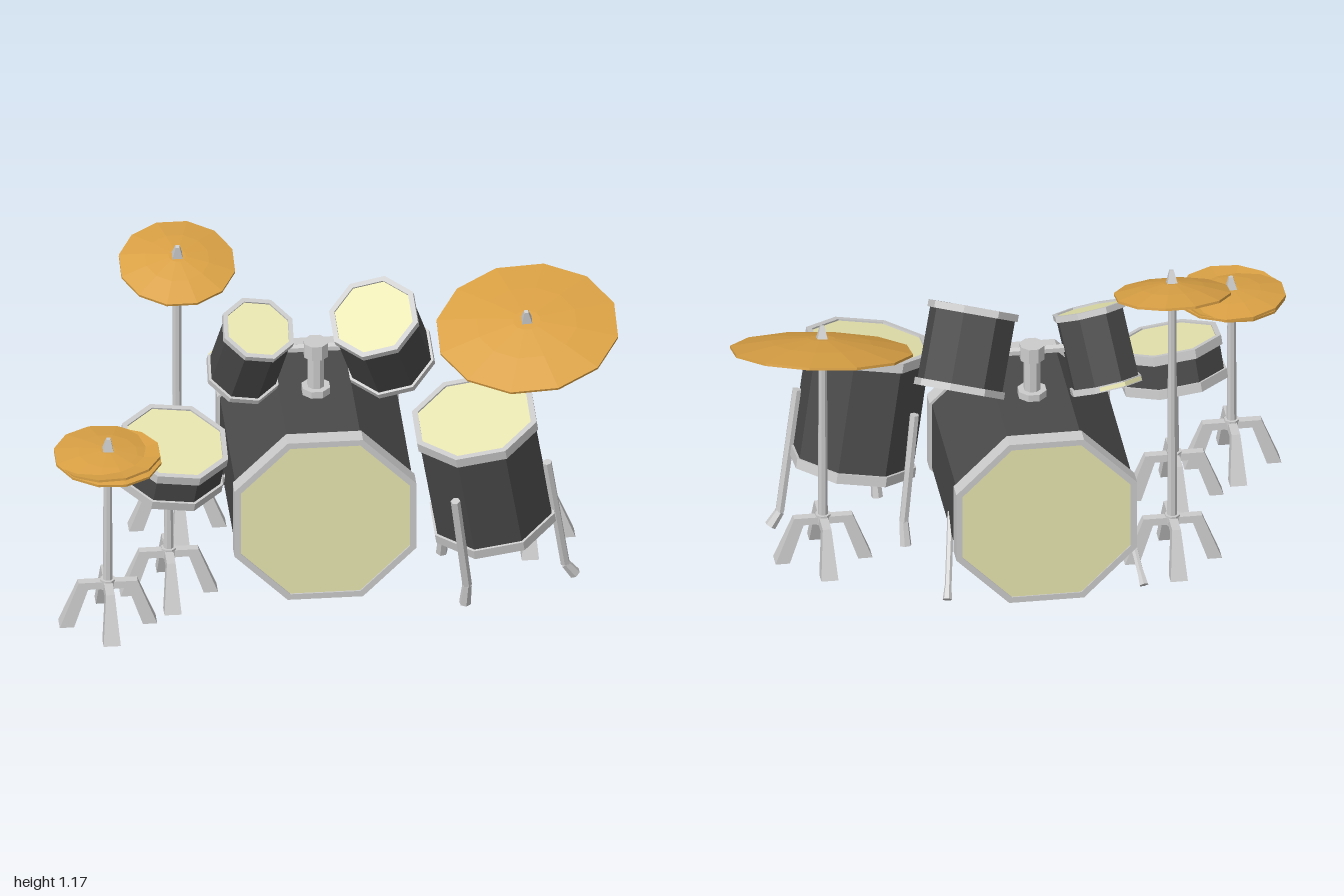
import * as THREE from 'three';

const mat = (color) => new THREE.MeshStandardMaterial({ color, flatShading: true, side: THREE.DoubleSide });
const metal = mat(0xcccccc), dark = mat(0x4a4a4a), skin = mat(0xe8e6b0), brass = mat(0xd9a044);
const UP = new THREE.Vector3(0, 1, 0);
const V = (p) => new THREE.Vector3(...p);

function add(parent, name, geometry, material, pos = [0, 0, 0]) {
  const mesh = new THREE.Mesh(geometry, material);
  mesh.name = name;
  mesh.position.set(...pos);
  parent.add(mesh);
  return mesh;
}

function group(parent, name, pos = [0, 0, 0]) {
  const g = new THREE.Group();
  g.name = name;
  g.position.set(...pos);
  parent.add(g);
  return g;
}

// Straight bar from a to b, with a radius at each end
function bar(parent, name, a, b, ra, rb = ra, sides = 6) {
  const p = V(a), q = V(b), d = q.clone().sub(p);
  const geo = new THREE.CylinderGeometry(rb, ra, d.length(), sides, 1, false, Math.PI / sides);
  const mesh = add(parent, name, geo, metal, p.clone().add(q).multiplyScalar(0.5).toArray());
  mesh.quaternion.setFromUnitVectors(UP, d.normalize());
  return mesh;
}

// Eight-sided prism or lathe with flats facing the axes; r is measured to the flats
const corner = (r) => r / Math.cos(Math.PI / 8);
const octagon = (r, h) => new THREE.CylinderGeometry(corner(r), corner(r), h, 8, 1, false, Math.PI / 8);

// Drum between two end centres: shell, two hoops and two slightly recessed heads
function drum(parent, name, bottom, top, r, hoopH, rim, bottomShift = [0, 0]) {
  const b = V(bottom), t = V(top), d = t.clone().sub(b), len = d.length();
  const g = group(parent, name, b.toArray());
  g.quaternion.setFromUnitVectors(UP, d.normalize());
  add(g, 'shell', octagon(r - 0.009, len - 0.03), dark, [0, len / 2, 0]);
  const ro = corner(r), ri = corner(r - rim);
  const ring = [[ri, 0], [ro, 0], [ro, hoopH], [ri, hoopH], [ri, 0]].map((p) => new THREE.Vector2(...p));
  for (const [end, y] of [['bottom', 0], ['top', len - hoopH]]) {
    add(g, end + 'Hoop', new THREE.LatheGeometry(ring, 8, Math.PI / 8), metal, [0, y, 0]);
  }
  add(g, 'topHead', octagon(r - rim + 0.001, 0.014), skin, [0, len - 0.013, 0]);
  add(g, 'bottomHead', octagon(r - rim + 0.001, 0.014), skin, [bottomShift[0], 0.011, bottomShift[1]]);
  return g;
}

// Bent stand leg: side outline extruded, then made wider towards the foot
function legGeometry() {
  const outline = [[0, 0.172], [0.07, 0.172], [0.12, 0.03], [0.17, 0.03], [0.103, 0.198], [0, 0.198]];
  const geo = new THREE.ExtrudeGeometry(new THREE.Shape(outline.map((p) => new THREE.Vector2(...p))),
    { depth: 1, bevelEnabled: false });
  const p = geo.attributes.position;
  for (let i = 0; i < p.count; i++) {
    const half = THREE.MathUtils.mapLinear(p.getY(i), 0.2, 0.03, 0.015, 0.03);
    p.setZ(i, (p.getZ(i) * 2 - 1) * half);
  }
  geo.computeVertexNormals();
  return geo;
}

// Pole on four bent legs
function stand(parent, name, x, z, height) {
  const g = group(parent, name, [x, 0, z]);
  bar(g, 'pole', [0, 0.165, 0], [0, height, 0], 0.018, 0.015, 8);
  bar(g, 'collar', [0, 0.168, 0], [0, 0.205, 0], 0.027, 0.027, 8);
  const geo = legGeometry();
  for (let i = 0; i < 4; i++) add(g, 'leg', geo, metal).rotation.y = i * Math.PI / 2;
  return g;
}

// Twelve-sided shallow dish
function cymbal(parent, name, pos, r, rise, tiltX, tiltZ, nut = true, squash = 1) {
  const g = group(parent, name, pos);
  g.rotation.set(tiltX, 0, tiltZ);
  const profile = [[0, -0.002], [r * 0.55, -0.006], [r, -0.016], [r, -0.007], [r * 0.55, rise * 0.55], [r * 0.15, rise], [0, rise]];
  const k = 1 / Math.cos(Math.PI / 12);
  const pts = profile.map(([x, y]) => new THREE.Vector2(x * k, y));
  add(g, 'plate', new THREE.LatheGeometry(pts, 12, Math.PI / 12), brass).scale.z = squash;
  if (nut) {
    bar(g, 'nut', [0, rise - 0.005, 0], [0, rise + 0.045, 0], 0.027, 0.01, 4);
  }
  return g;
}

export function createModel() {
  const kit = new THREE.Group();
  kit.name = 'drumKit';

  // Bass drum with rear spurs
  drum(kit, 'bassDrum', [-0.045, 0.328, -0.503], [-0.045, 0.328, 0.2], 0.317, 0.064, 0.022);
  for (const s of [-1, 1]) {
    const x = (o) => -0.045 + s * o;
    bar(kit, 'bassSpur', [x(0.3), 0.25, -0.255], [x(0.34), 0.05, -0.46], 0.012);
    bar(kit, 'bassSpurTip', [x(0.338), 0.065, -0.445], [x(0.345), 0.03, -0.48], 0.012, 0.017);
  }

  // Tom mount on top of the bass drum
  const mount = group(kit, 'tomMount', [-0.045, 0, -0.155]);
  bar(mount, 'mountBase', [0, 0.635, 0], [0, 0.662, 0], 0.052, 0.052, 8);
  bar(mount, 'mountPost', [0, 0.65, 0], [0, 0.79, 0], 0.03, 0.03, 8);
  bar(mount, 'mountHead', [0, 0.785, 0], [0, 0.84, 0], 0.045, 0.045, 8);
  bar(mount, 'mountArm', [-0.15, 0.815, 0], [0.16, 0.815, 0], 0.016);

  // Hanging toms and floor tom
  drum(kit, 'rightTom', [-0.297, 0.682, -0.222], [-0.25, 0.937, -0.1], 0.123, 0.022, 0.016, [-0.012, -0.016]);
  drum(kit, 'leftTom', [0.223, 0.713, -0.228], [0.15, 0.968, -0.09], 0.15, 0.025, 0.018);
  drum(kit, 'floorTom', [0.55, 0.257, 0.11], [0.476, 0.706, 0.18], 0.211, 0.036, 0.02);

  // Floor tom legs, each with a kicked foot
  const legs = [
    [[0.728, 0.52, 0.2], [0.797, 0.07, 0.14], [0.832, 0.02, 0.13]],
    [[0.393, 0.48, 0.365], [0.44, 0.1, 0.3], [0.434, 0.015, 0.283]],
    [[0.345, 0.5, 0.0], [0.388, 0.1, -0.04], [0.385, 0.015, -0.065]],
  ];
  for (const [a, b, c] of legs) {
    bar(kit, 'floorTomLeg', a, b, 0.017);
    bar(kit, 'floorTomFoot', b, c, 0.017, 0.021);
  }

  // Snare and its stand
  drum(kit, 'snareDrum', [-0.584, 0.493, 0.112], [-0.564, 0.645, 0.147], 0.181, 0.034, 0.018);
  const snareStand = stand(kit, 'snareStand', -0.585, 0.125, 0.48);
  bar(snareStand, 'snareCradle', [0, 0.44, 0], [0, 0.495, 0], 0.024, 0.045, 8);

  // Cymbals on stands
  stand(kit, 'crashStand', -0.515, -0.305, 1.1);
  cymbal(kit, 'crashCymbal', [-0.515, 1.1, -0.305], 0.198, 0.03, 0.26, 0);
  stand(kit, 'rideStand', 0.685, -0.125, 0.87);
  cymbal(kit, 'rideCymbal', [0.69, 0.872, -0.13], 0.31, 0.035, 0.305, 0.07, true, 0.93);
  stand(kit, 'hiHatStand', -0.815, 0.315, 0.705);
  cymbal(kit, 'hiHatTop', [-0.815, 0.71, 0.315], 0.183, 0.018, 0.05, -0.04);
  const lower = cymbal(kit, 'hiHatBottom', [-0.815, 0.694, 0.315], 0.18, 0.014, 0, -0.04, false);
  lower.rotation.x = Math.PI - 0.03;

  return kit;
}
